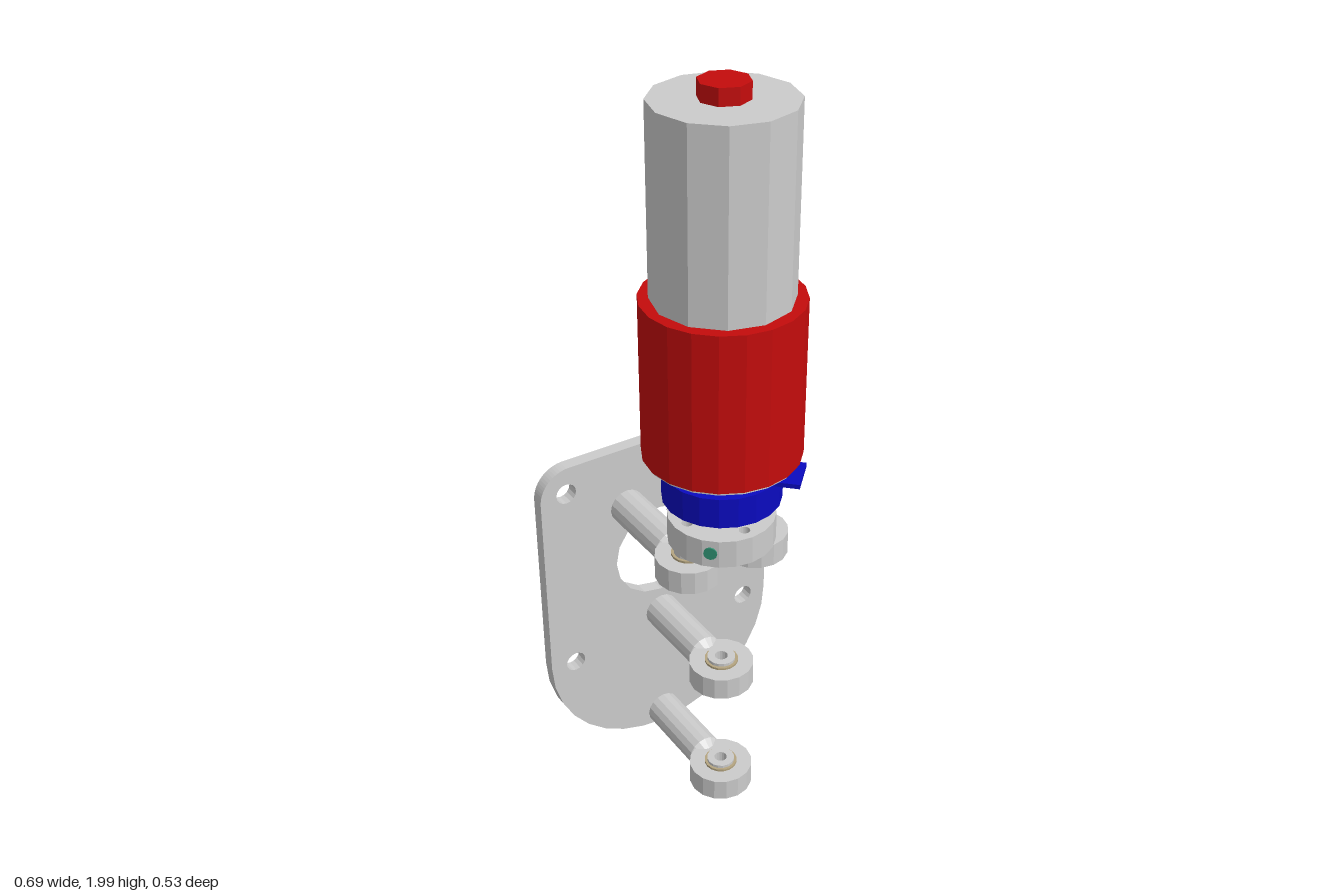
import * as THREE from 'three';

const mat = (color) => new THREE.MeshStandardMaterial({ color, flatShading: true });
const GREY = mat(0xcccccc), RED = mat(0xc40c0c), BLUE = mat(0x0a0abf), BRASS = mat(0xb5a580), TEAL = mat(0x2f8f70);
const AXIS_Z = 0.067;

function add(parent, name, geometry, material = GREY, x = 0, y = 0, z = 0) {
  const mesh = new THREE.Mesh(geometry, material);
  mesh.name = name;
  mesh.position.set(x, y, z);
  parent.add(mesh);
  return mesh;
}

// Upright cylinder between two heights
function drum(parent, name, r, y0, y1, sides, material) {
  return add(parent, name, new THREE.CylinderGeometry(r, r, y1 - y0, sides), material, 0, (y0 + y1) / 2, 0);
}

const lathe = (pts, sides) => new THREE.LatheGeometry(pts.map(([r, y]) => new THREE.Vector2(r, y)), sides);

// Hollow ring centred on its own height
const ring = (ri, ro, h, sides) =>
  lathe([[ri, -h / 2], [ro, -h / 2], [ro, h / 2], [ri, h / 2], [ri, -h / 2]], sides);

function punch(shape, x, y, r) {
  shape.holes.push(new THREE.Path().absarc(x, y, r, 0, Math.PI * 2, true));
}

function mountingPlate(rods) {
  const w = 0.345, top = 0.97, c = 0.085;
  const s = new THREE.Shape();
  s.absarc(0, 0.355, w, Math.PI, Math.PI * 2, false);
  s.absarc(w - c, top - c, c, 0, Math.PI / 2, false);
  s.absarc(-w + c, top - c, c, Math.PI / 2, Math.PI, false);
  s.closePath();
  punch(s, 0, 0.62, 0.135);
  for (const x of [-0.272, 0.272]) for (const y of [0.35, 0.895]) punch(s, x, y, 0.028);
  for (const [x, y] of rods) punch(s, x, y, 0.02);
  return new THREE.ExtrudeGeometry(s, { depth: 0.035, bevelEnabled: false, curveSegments: 8 });
}

// Threaded rod with an eye and a swivel ball at its front end
function rodEnd(x, y) {
  const g = new THREE.Group();
  g.name = 'rodEnd';
  g.position.set(x, y, 0);
  const rod = lathe([[0, 0.06], [0.02, 0.06], [0.02, 0], [0.048, 0], [0.048, 0.22], [0.03, 0.245], [0, 0.245]], 16);
  rod.rotateX(Math.PI / 2);
  add(g, 'rod', rod, GREY, 0, 0, -0.23);
  add(g, 'eye', ring(0.044, 0.085, 0.062, 16), GREY, 0, 0, AXIS_Z + 0.003);
  add(g, 'bushing', ring(0.034, 0.044, 0.074, 16), BRASS, 0, 0, AXIS_Z + 0.003);
  add(g, 'ball', ring(0.017, 0.037, 0.09, 16), GREY, 0, 0, AXIS_Z + 0.003);
  return g;
}

// Disc with four axial bolt holes
function hub() {
  const s = new THREE.Shape().absarc(0, 0, 0.135, 0, Math.PI * 2, false);
  for (let i = 0; i < 4; i++) {
    const a = i * Math.PI / 2;
    punch(s, 0.1 * Math.cos(a), 0.1 * Math.sin(a), 0.014);
  }
  const geo = new THREE.ExtrudeGeometry(s, { depth: 0.075, bevelEnabled: false, curveSegments: 10 });
  return geo.rotateX(-Math.PI / 2);
}

export function createModel() {
  const model = new THREE.Group();
  model.name = 'motorLinkage';

  // Plate and its four rod ends
  const rods = [[-0.098, 0.795], [0.098, 0.795], [0, 0.413], [0, 0.055]];
  add(model, 'mountingPlate', mountingPlate(rods), GREY, 0, 0, -0.265);
  for (const [x, y] of rods) model.add(rodEnd(x, y));

  // Motor column, from the hub upward
  const column = new THREE.Group();
  column.name = 'motorColumn';
  column.position.z = AXIS_Z;
  model.add(column);

  add(column, 'hub', hub(), GREY, 0, 0.84, 0);
  for (const deg of [135, 255]) {
    const a = deg * Math.PI / 180;
    const geo = new THREE.CylinderGeometry(0.017, 0.017, 0.01, 12).rotateZ(Math.PI / 2);
    const screw = add(column, 'setScrew', geo, TEAL, 0.132 * Math.cos(a), 0.88, 0.132 * Math.sin(a));
    screw.rotation.y = -a;
  }
  drum(column, 'shaft', 0.055, 0.9, 0.97, 14, GREY);
  drum(column, 'clampRing', 0.148, 0.965, 1.045, 20, BLUE);
  const tab = add(column, 'clampTab', new THREE.BoxGeometry(0.1, 0.012, 0.1), BLUE,
    0.148 * Math.SQRT1_2, 1.043, 0.148 * Math.SQRT1_2);
  tab.rotation.y = Math.PI / 4;
  drum(column, 'neck', 0.116, 1.04, 1.09, 16, GREY);
  drum(column, 'gearboxBase', 0.19, 1.086, 1.1, 20, GREY);
  drum(column, 'gearbox', 0.195, 1.093, 1.5, 20, RED);
  drum(column, 'motorBody', 0.169, 1.5, 1.96, 12, GREY);
  drum(column, 'motorCap', 0.06, 1.96, 2.0, 8, RED);

  return model;
}
